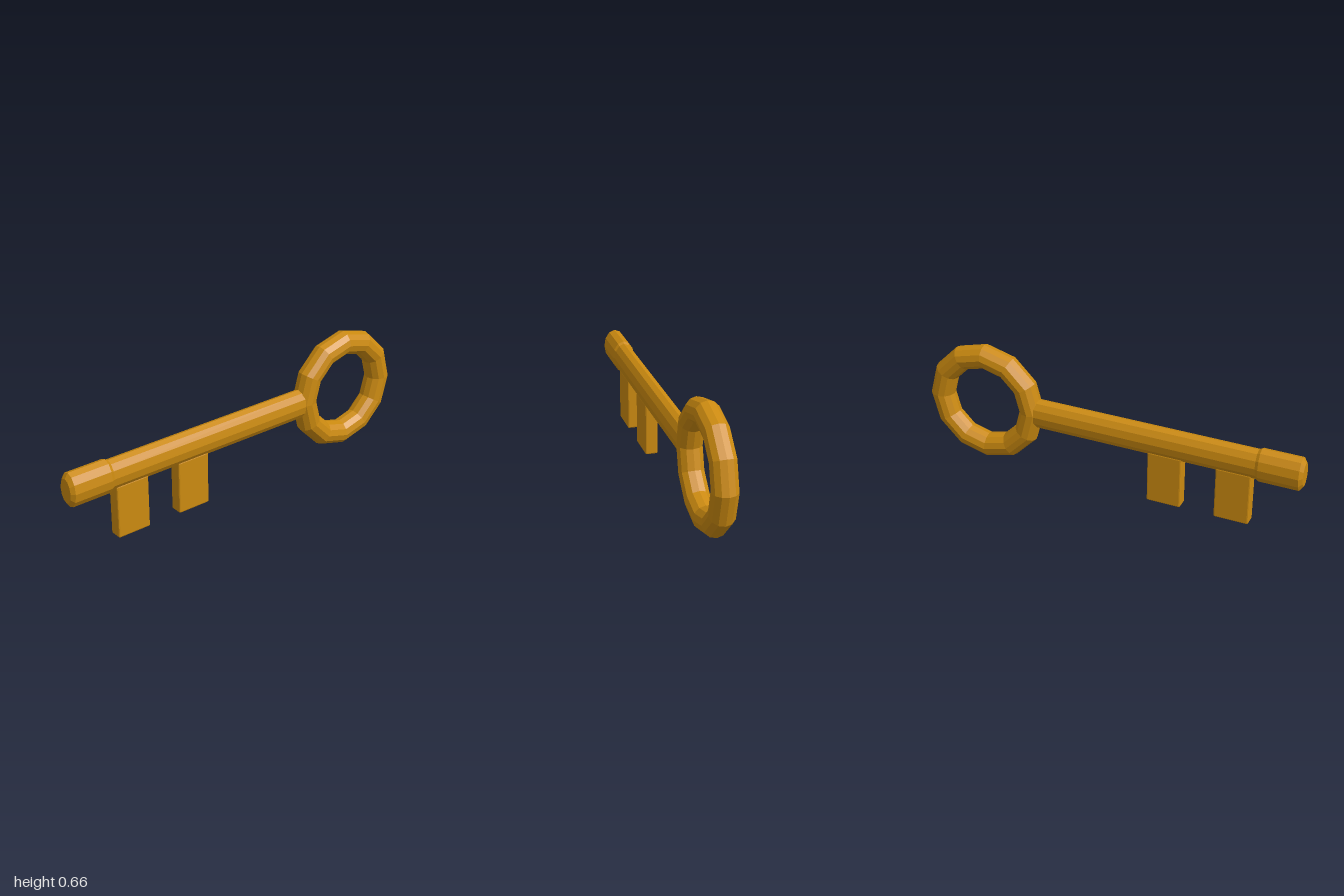
import * as THREE from 'three';
import { RoundedBoxGeometry } from 'three/addons/geometries/RoundedBoxGeometry.js';

const brass = new THREE.MeshStandardMaterial({ color: 0xcb8a10, flatShading: true });
const AXIS_Y = 0.336;

function addPart(group, name, geometry, x, y, z) {
  const mesh = new THREE.Mesh(geometry, brass);
  mesh.name = name;
  mesh.position.set(x, y, z);
  group.add(mesh);
  return mesh;
}

// Twelve-sided turned piece along z, narrowed in x; profile holds [radius, z]
function turned(profile) {
  const points = profile.map(([r, z]) => new THREE.Vector2(r, z));
  return new THREE.LatheGeometry(points, 12).rotateX(Math.PI / 2).scale(0.672, 1, 1);
}

export function createModel() {
  const key = new THREE.Group();
  key.name = 'key';

  // Ring handle, standing in the yz plane
  const ring = new THREE.TorusGeometry(0.256, 0.063, 12, 12).rotateY(Math.PI / 2);
  addPart(key, 'handleRing', ring, 0, 0.339, -0.681);

  // Long shaft
  const shaft = turned([[0, -0.41], [0.07, -0.41], [0.079, -0.395], [0.079, 0.8], [0, 0.8]]);
  addPart(key, 'shaft', shaft, 0, AXIS_Y, 0);

  // Thicker tip with bevelled ends
  const tip = turned([[0, 0.765], [0.076, 0.765], [0.0885, 0.785], [0.0885, 0.983], [0.062, 1], [0, 1]]);
  addPart(key, 'tipCollar', tip, 0, AXIS_Y, 0);

  // Two flat teeth below the shaft
  const names = ['frontTooth', 'rearTooth'];
  [0.66, 0.307].forEach((z, i) => {
    const tooth = new RoundedBoxGeometry(0.066, 0.278, 0.178, 1, 0.007);
    addPart(key, names[i], tooth, 0, 0.139, z);
  });

  return key;
}
